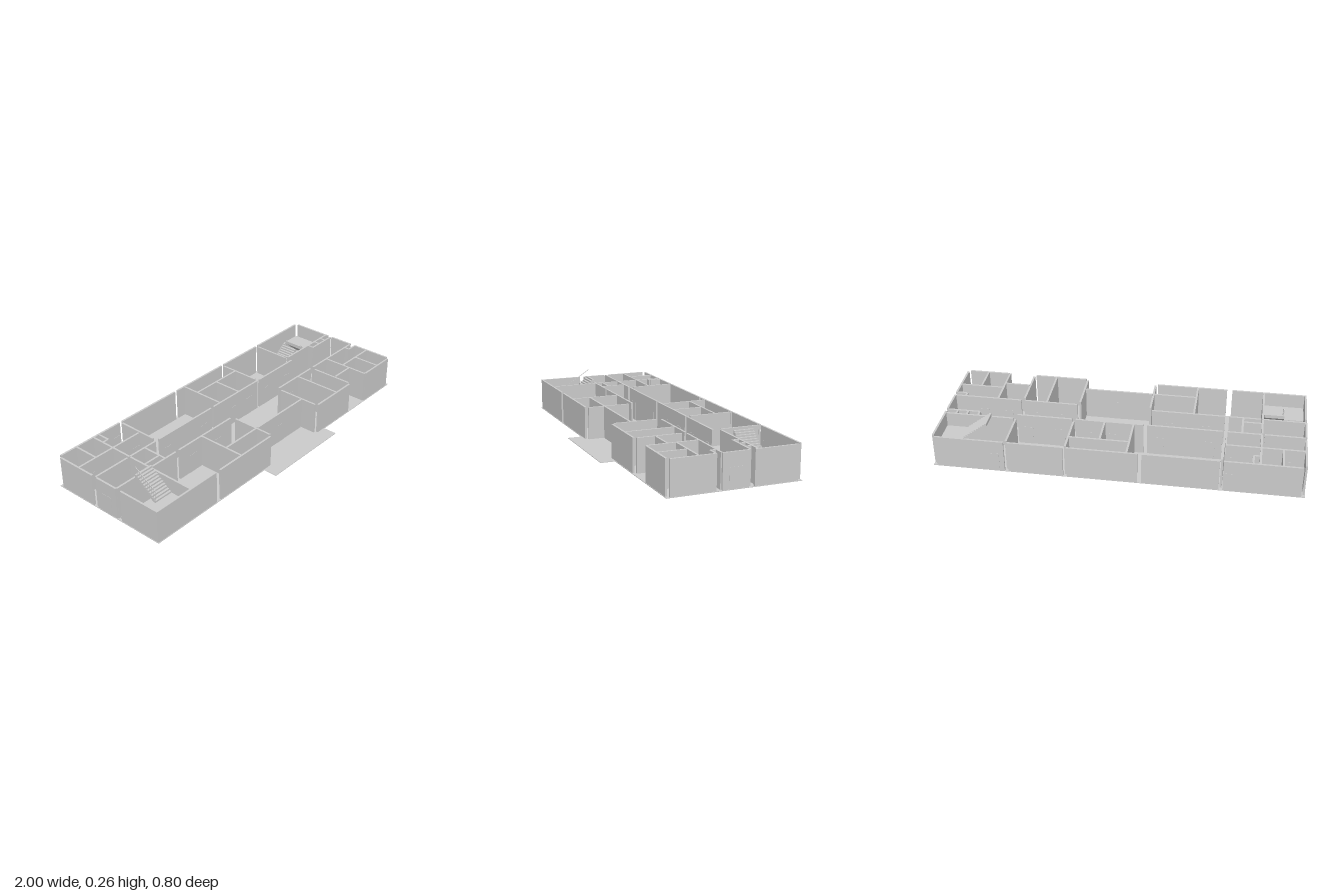
import * as THREE from 'three';

const H = 0.186, T = 0.011, F = 0.003;
const mat = new THREE.MeshStandardMaterial({ color: 0xcccccc });

// Box given by its min and max corners
function box(parent, name, x0, x1, y0, y1, z0, z1) {
  const m = new THREE.Mesh(new THREE.BoxGeometry(x1 - x0, y1 - y0, z1 - z0), mat);
  m.position.set((x0 + x1) / 2, (y0 + y1) / 2, (z0 + z1) / 2);
  m.name = name;
  parent.add(m);
  return m;
}

// Straight stair flight with a sloped underside: rises along +x from the origin, width along +z
function flight(name, run, y0, y1, width, steps) {
  const s = new THREE.Shape(), dx = run / steps, dy = (y1 - y0) / steps;
  s.moveTo(0, Math.max(F, y0 - dy));
  for (let i = 0; i < steps; i++) {
    s.lineTo(i * dx, y0 + (i + 1) * dy);
    s.lineTo((i + 1) * dx, y0 + (i + 1) * dy);
  }
  s.lineTo(run, y1 - 2 * dy);
  s.lineTo(dx, Math.max(F, y0 - dy));
  const m = new THREE.Mesh(new THREE.ExtrudeGeometry(s, { depth: width, bevelEnabled: false }), mat);
  m.name = name;
  return m;
}

export function createModel() {
  const model = new THREE.Group();
  model.name = 'floorPlanBuilding';

  // Floor slab and entrance apron
  box(model, 'floor', -1, 1, 0, F, -0.4, 0.32);
  box(model, 'entranceApron', -0.2, 0.34, 0, F, 0.32, 0.4);

  // Walls along x: [z, x start, x end]
  const alongX = [
    // back facade, with slits where columns stand
    [-0.394, -0.98, -0.57], [-0.394, -0.55, -0.14], [-0.394, -0.118, 0.262],
    [-0.394, 0.282, 0.582], [-0.394, 0.602, 0.98],
    // front facade
    [0.312, -0.99, -0.575], [0.312, -0.545, -0.143], [0.312, 0.28, 0.58], [0.312, 0.745, 0.98],
    // recessed entrance walls
    [0.205, -0.377, -0.135], [0.205, -0.122, 0.262], [0.2, 0.6, 0.74],
    // corridor, back side
    [-0.118, -0.99, -0.772], [-0.118, -0.757, -0.572], [-0.118, -0.545, -0.135],
    [-0.118, -0.115, 0.262], [-0.118, 0.282, 0.59], [-0.157, 0.605, 0.985], [-0.118, 0.8, 0.985],
    // corridor, front side
    [0.032, -0.99, -0.757], [0.032, -0.75, -0.572], [0.032, -0.55, -0.143],
    [0.032, 0.28, 0.58], [0.032, 0.605, 0.985],
    // rooms
    [-0.243, -0.99, -0.57], [-0.29, -0.06, 0.265], [0.153, 0.745, 0.985], [-0.01, -0.757, -0.65],
    [-0.32, -0.757, -0.72], [0.065, 0.93, 0.985],
  ];
  // Walls along z: [x, z start, z end]
  const alongZ = [
    [-0.992, -0.378, -0.14], [-0.992, -0.11, 0.032], [-0.992, 0.062, 0.316],
    [0.992, -0.378, -0.14], [0.992, -0.11, 0.032], [0.992, 0.062, 0.3],
    [-0.875, -0.39, -0.243], [-0.757, -0.39, -0.118], [-0.757, -0.11, 0.026], [-0.757, 0.032, 0.31],
    [-0.72, -0.39, -0.32], [-0.65, -0.118, 0.032], [-0.56, -0.38, -0.145],
    [-0.377, 0.032, 0.31], [-0.13, 0.058, 0.3], [-0.06, -0.39, -0.118], [0.1, -0.29, -0.118],
    [0.27, -0.38, -0.14], [0.27, 0.058, 0.3], [0.457, 0.032, 0.31],
    [0.59, -0.38, -0.165], [0.59, 0.058, 0.3], [0.74, 0.032, 0.312], [0.87, 0.153, 0.312],
    [0.805, -0.157, -0.118], [0.87, -0.157, -0.118], [0.93, -0.157, -0.118], [0.93, 0.032, 0.065],
  ];
  const walls = new THREE.Group();
  walls.name = 'walls';
  model.add(walls);
  alongX.forEach(([z, a, b]) => box(walls, 'wall', a, b, F, H, z - T / 2, z + T / 2));
  alongZ.forEach(([x, a, b]) => box(walls, 'wall', x - T / 2, x + T / 2, F, H, a, b));

  // Door leaves, barely proud of both faces of their wall
  const doors = new THREE.Group();
  doors.name = 'doors';
  model.add(doors);
  const P = T / 2 + 0.0012;
  [[-0.394, -0.605], [-0.394, 0.655], [-0.118, -0.48], [-0.118, -0.2], [-0.118, 0.05], [-0.118, 0.18],
    [-0.118, 0.35], [-0.118, 0.53], [0.032, -0.45], [0.032, -0.25], [0.032, 0.38], [0.032, 0.52],
    [0.032, 0.68], [0.032, 0.82], [-0.243, -0.91], [-0.243, -0.6], [0.205, 0.07]].forEach(([z, x]) =>
    box(doors, 'door', x - 0.026, x + 0.026, F, 0.112, z - P, z + P));
  [-0.992, 0.992].forEach((x) => box(doors, 'endDoor', x - P, x + P, F, 0.112, -0.075, -0.005));

  // Right-hand (-x) staircase: up towards the front, landing, back towards the corridor
  const stairA = new THREE.Group();
  stairA.name = 'frontStair';
  model.add(stairA);
  const a1 = flight('lowerFlight', 0.14, F, 0.105, 0.108, 11);
  a1.rotation.y = -Math.PI / 2;
  a1.position.set(-0.876, 0, 0.042);
  const a2 = flight('upperFlight', 0.14, 0.105, 0.21, 0.108, 11);
  a2.rotation.y = Math.PI / 2;
  a2.position.set(-0.872, 0, 0.182);
  stairA.add(a1, a2);
  box(stairA, 'landing', -0.986, -0.763, 0.095, 0.105, 0.182, 0.306);

  // Sloped handrail with balusters beside the upper flight
  const railY = (z) => 0.255 - 0.64 * (z - 0.042);
  const railX = -0.868;
  for (let i = 0; i <= 10; i++) {
    const z = 0.043 + i * 0.0135;
    box(stairA, 'baluster', railX - 0.0008, railX + 0.0008, railY(z) - 0.055, railY(z), z - 0.0008, z + 0.0008);
  }
  const rail = box(stairA, 'handrail', -0.0015, 0.0015, -0.0015, 0.0015, -0.083, 0.083);
  rail.position.set(railX, railY(0.112), 0.112);
  rail.rotation.x = Math.atan(0.64);

  // Left-hand (+x) staircase: up towards the side wall, landing, back inwards
  const stairB = new THREE.Group();
  stairB.name = 'backStair';
  model.add(stairB);
  const b1 = flight('lowerFlight', 0.135, F, 0.105, 0.105, 11);
  b1.position.set(0.725, 0, -0.387);
  const b2 = flight('upperFlight', 0.135, 0.105, 0.21, 0.108, 11);
  b2.rotation.y = Math.PI;
  b2.position.set(0.86, 0, -0.163);
  stairB.add(b1, b2);
  box(stairB, 'landing', 0.86, 0.986, 0.095, 0.105, -0.387, -0.163);

  return model;
}
